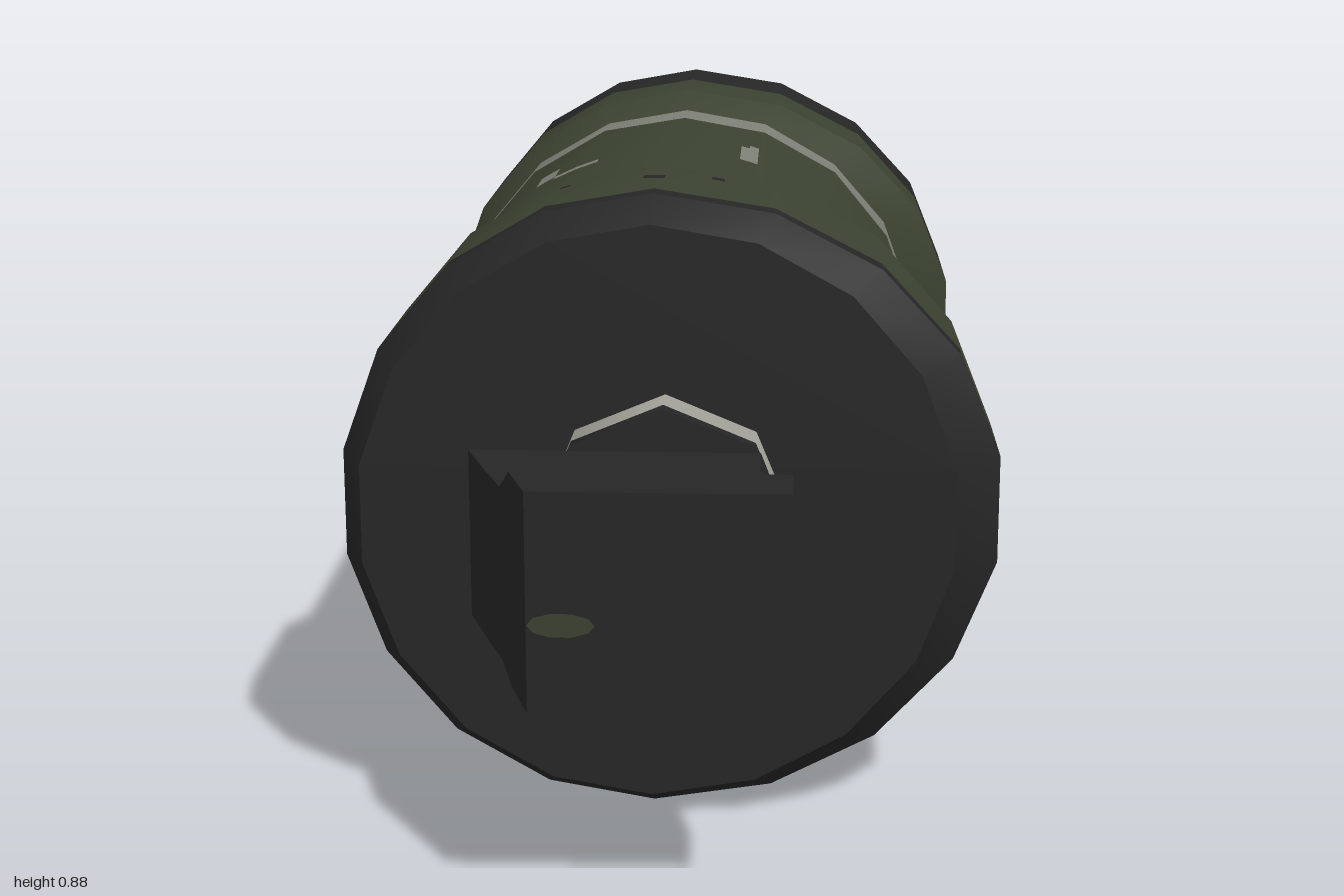
import * as THREE from 'three';

const SIDES = 18, CX = -0.025, CY = 0.4375;

const mat = (name, color, side = THREE.FrontSide) => {
  const m = new THREE.MeshStandardMaterial({ color, side });
  m.name = name;
  return m;
};

// Skin between closed cross-sections (counter-clockwise seen from +z, ascending z)
function loft(sections, capBack = false, capFront = false) {
  const n = sections[0].length, index = [];
  const pos = sections.flat(2);
  for (let k = 0; k < sections.length - 1; k++) {
    for (let i = 0; i < n; i++) {
      const j = (i + 1) % n, a = k * n, b = a + n;
      index.push(a + i, a + j, b + j, a + i, b + j, b + i);
    }
  }
  const last = (sections.length - 1) * n;
  for (let i = 1; i < n - 1; i++) {
    if (capBack) index.push(0, i + 1, i);
    if (capFront) index.push(last, last + i, last + i + 1);
  }
  const g = new THREE.BufferGeometry();
  g.setAttribute('position', new THREE.Float32BufferAttribute(pos, 3));
  g.setIndex(index);
  g.computeVertexNormals();
  return g;
}

// Body ring: right half may bulge, left side (+x) may carry a notch, paint edges may wave
function ring(r, z, { bulge = 1, notch = 0, wave = 0 } = {}) {
  return Array.from({ length: SIDES }, (_, i) => {
    const a = (i + 0.5) * 2 * Math.PI / SIDES;
    const deg = Math.abs(Math.atan2(Math.sin(a), Math.cos(a))) * 180 / Math.PI;
    const w = THREE.MathUtils.clamp((50 - deg) / 38, 0, 1);
    const c = Math.cos(a) * r;
    return [CX + (c > 0 ? c * bulge : c), CY + Math.sin(a) * r,
      z + notch * w + wave * Math.sin(i * 2.3)];
  });
}

// Pentagonal section of the fuse head
const headSection = ([z, left, right, h]) => [
  [left, CY - h, z], [right - 0.045, CY - h, z], [right, CY, z],
  [right - 0.045, CY + h, z], [left, CY + h, z],
];

export function createModel() {
  const group = new THREE.Group();
  const green = mat('olive green', 0x3b4230);
  const black = mat('charcoal black', 0x262626);
  const paint = mat('faded grey paint', 0x7d8077);
  const metal = mat('bare metal', 0xa3a39a);
  const chipPaint = mat('chipped grey', 0x7d8077, THREE.DoubleSide);
  const chipBlack = mat('chipped black', 0x262626, THREE.DoubleSide);
  const chipGreen = mat('chipped green', 0x3b4230, THREE.DoubleSide);

  const add = (name, geometry, material) => {
    const m = new THREE.Mesh(geometry, material);
    m.name = name;
    group.add(m);
    return m;
  };

  const R = 0.41, C = 0.4375, B = { bulge: 1.108 };
  const rearEdge = ring(C, -0.77, { ...B, wave: 0.008 });
  const rearLip = ring(C, -0.6, { ...B, notch: -0.06 });
  const rearFoot = ring(R, -0.53, { notch: -0.055 });
  const stripeEdge = ring(R, -0.425, { wave: 0.009 });
  const frontFoot = ring(R, 0.263, { notch: 0.052 });
  const frontLip = ring(C, 0.315, { ...B, notch: 0.075 });
  const frontEdge = ring(C, 0.53, { ...B, wave: 0.004 });
  const rearBevel = ring(C, -0.94, B), frontBevel = ring(C, 0.572, B);
  const rearFace = ring(0.405, -1, { bulge: 1.04 });
  const frontFace = ring(0.405, 0.632, { bulge: 1.04 });

  // Separate bands keep crisp edges between them and stay smooth around
  [
    ['rearCapBevel', rearFace, rearBevel, black],
    ['rearCap', rearBevel, rearEdge, black],
    ['rearCollar', rearEdge, rearLip, green],
    ['rearCollarSlope', rearLip, rearFoot, green],
    ['paintStripe', rearFoot, stripeEdge, paint],
    ['body', stripeEdge, frontFoot, green],
    ['frontCollarSlope', frontFoot, frontLip, green],
    ['frontCollar', frontLip, frontEdge, green],
    ['frontCap', frontEdge, frontBevel, black],
    ['frontCapBevel', frontBevel, frontFace, black],
  ].forEach(([name, a, b, m]) => add(name, loft([a, b]), m));

  // Flat end discs
  const endDisc = (section, back) => loft([section], back, !back);
  add('rearDisc', endDisc(rearFace, true), black);
  add('frontDisc', endDisc(frontFace, false), black);

  // Octagonal neck and its dark rim
  const neckPart = (name, z0, z1, m) => {
    const g = new THREE.CylinderGeometry(0.174, 0.174, z1 - z0, 8);
    g.rotateX(Math.PI / 2);
    add(name, g, m).position.set(-0.005, CY, (z0 + z1) / 2);
  };
  neckPart('neck', 0.62, 0.69, metal);
  neckPart('neckRim', 0.69, 0.712, black);

  // Slanted fuse head: z, left edge, right point, half height
  const head = loft([
    [0.71, -0.263, 0.17, 0.115], [0.8, -0.232, 0.17, 0.115],
    [0.83, -0.221, 0.192, 0.115], [0.885, -0.201, 0.186, 0.115],
    [0.912, -0.186, 0.213, 0.1425], [1, -0.158, 0.213, 0.1425],
  ].map(headSection), true, true).toNonIndexed();
  head.computeVertexNormals();
  add('fuseHead', head, black);

  // Worn spot on the head's front
  const spot = new THREE.CircleGeometry(0.042, 10);
  spot.scale(1, 0.38, 1);
  add('headChip', spot, chipGreen).position.set(-0.115, 0.41, 1.001);

  // Worn paint marks lying on the top of the body: x0, x1, z0, z1, radius
  const chip = (name, x0, x1, z0, z1, r, m) => {
    const top = x => CY + Math.sqrt(r * r - (x - CX) ** 2) + 0.002;
    const g = new THREE.PlaneGeometry(1, 1, 2, 2);
    const p = g.attributes.position;
    for (let i = 0; i < p.count; i++) {
      const x = THREE.MathUtils.lerp(x0, x1, p.getX(i) + 0.5);
      p.setXYZ(i, x, top(x), THREE.MathUtils.lerp(z1, z0, p.getY(i) + 0.5));
    }
    g.computeVertexNormals();
    add(name, g, m);
  };
  chip('paintMark', 0.08, 0.108, -0.16, -0.015, R, chipPaint);
  chip('paintMark', 0.093, 0.108, -0.19, -0.16, R, chipPaint);
  chip('paintMark', -0.245, -0.215, -0.12, -0.03, R, chipPaint);
  chip('paintMark', -0.215, -0.145, -0.035, -0.005, R, chipPaint);
  chip('paintMark', -0.365, -0.325, -0.025, -0.01, R, chipPaint);
  chip('collarChip', -0.045, -0.015, 0.425, 0.45, C, chipBlack);
  chip('collarChip', 0.05, 0.068, 0.395, 0.418, C, chipBlack);
  chip('collarChip', -0.165, -0.15, 0.4, 0.415, C, chipBlack);

  return group;
}
